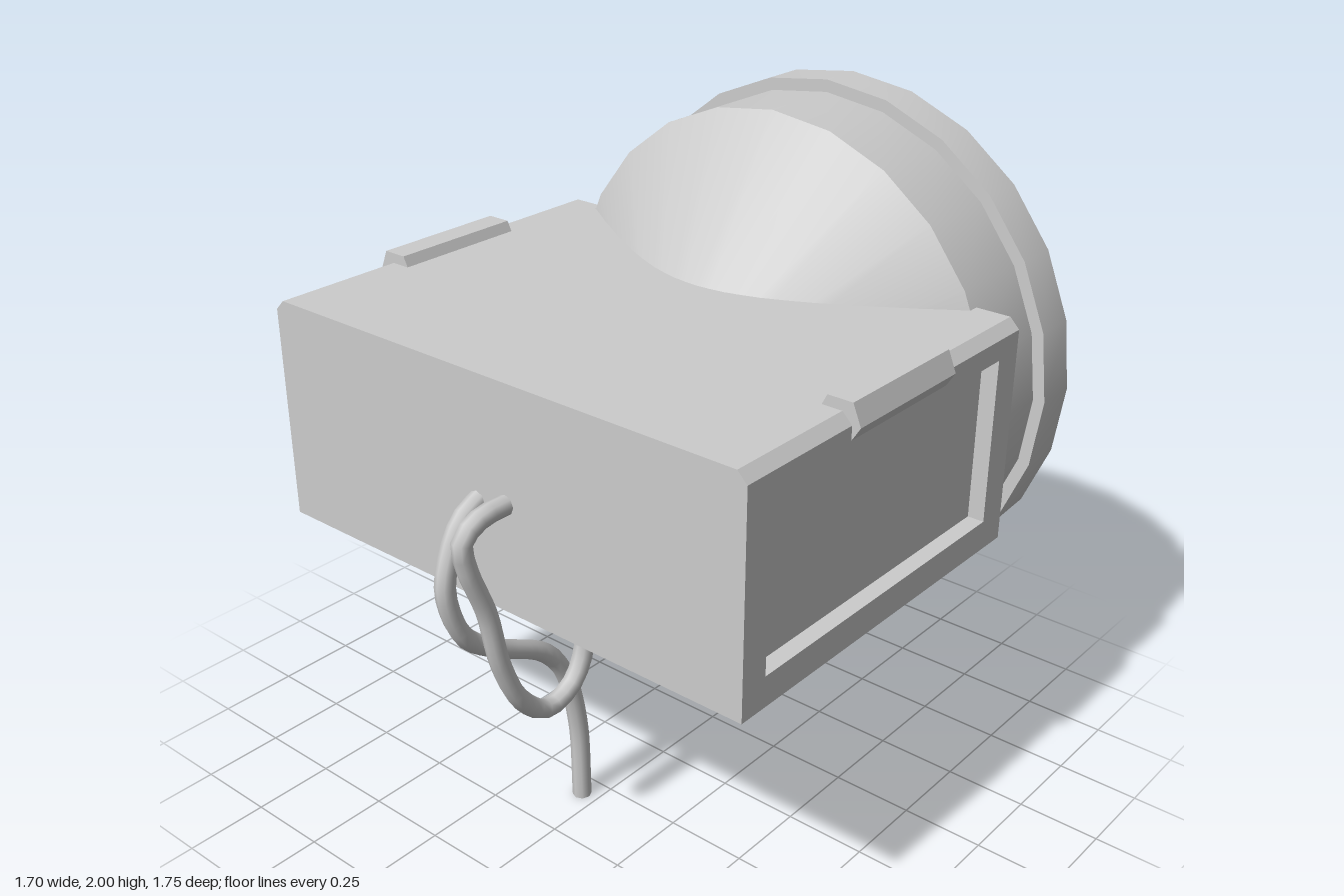
import * as THREE from 'three';
import { toCreasedNormals } from 'three/addons/utils/BufferGeometryUtils.js';

const material = new THREE.MeshStandardMaterial({ color: 0xcccccc, side: THREE.DoubleSide });

// Main dimensions of the housing and the horn axis height
const BOTTOM = 0.86, TOP = 1.53, FRONT = 0.685, BACK = -0.51;
const OUTER = 0.825, INNER = 0.775, AXIS = 1.195;
const LENGTH = FRONT - BACK, HEIGHT = TOP - BOTTOM;

const v2 = (list) => list.map(([x, y]) => new THREE.Vector2(x, y));
const rect = (x0, y0, x1, y1) => v2([[x0, y0], [x1, y0], [x1, y1], [x0, y1]]);

function prism(points, depth, hole) {
  const shape = new THREE.Shape(points);
  if (hole) shape.holes.push(new THREE.Path(hole));
  return new THREE.ExtrudeGeometry(shape, { depth, bevelEnabled: false });
}

// Top or bottom sheet with the curved notch where the horn passes through it
function notchedSheet() {
  const points = [[-INNER, -FRONT], [INNER, -FRONT], [INNER, -BACK], [0.69, -BACK]];
  const steps = 32;
  for (let i = 0; i <= steps; i++) {
    const x = 0.69 - (1.38 * i) / steps;
    const r = Math.hypot(x, HEIGHT / 2);
    points.push([x, 0.147 + (r - HEIGHT / 2) / 1.3]);
  }
  points.push([-0.69, -BACK], [-INNER, -BACK]);
  return new THREE.ShapeGeometry(new THREE.Shape(v2(points))).rotateX(-Math.PI / 2);
}

export function createModel() {
  const model = new THREE.Group();
  const add = (name, geometry, x = 0, y = 0, z = 0, parent = model) => {
    const mesh = new THREE.Mesh(geometry, material);
    mesh.name = name;
    mesh.position.set(x, y, z);
    parent.add(mesh);
    return mesh;
  };

  // Horn: outer cone, drum, rim, stepped mouth and inner funnel
  const profile = v2([
    [0.21, 0.05], [0.77, 0.48], [0.77, 0.745], [0.807, 0.745], [0.807, 0.88],
    [0.72, 0.88], [0.72, 0.745], [0.65, 0.745], [0.19, 0.055], [0, 0.055],
  ]);
  const horn = new THREE.LatheGeometry(profile, 24).rotateX(-Math.PI / 2);
  add('horn', toCreasedNormals(horn, 0.45), 0, AXIS, 0);

  // Housing sheets
  const housing = new THREE.Group();
  housing.name = 'housing';
  model.add(housing);
  const midZ = (FRONT + BACK) / 2;
  add('topPanel', notchedSheet(), 0, TOP, 0, housing);
  add('bottomPanel', notchedSheet().rotateZ(Math.PI).scale(1, 1, 1), 0, BOTTOM, 0, housing);
  add('frontPanel', new THREE.PlaneGeometry(2 * INNER, HEIGHT), 0, AXIS, FRONT, housing);

  for (const side of [1, -1]) {
    const label = side > 0 ? 'left' : 'right';

    // Side wall with a recessed rectangular panel
    const frame = prism(rect(-FRONT, BOTTOM, -BACK, 1.5), OUTER - INNER, rect(-0.595, 0.95, 0.415, 1.44));
    frame.rotateY(Math.PI / 2);
    add(label + 'SideFrame', frame, side > 0 ? INNER : -OUTER, 0, 0, housing);
    const recess = new THREE.PlaneGeometry(LENGTH, HEIGHT).rotateY((side * Math.PI) / 2);
    add(label + 'RecessedPanel', recess, side * INNER, AXIS, midZ, housing);

    // Chamfered strip along the top edge
    const edge = v2([[INNER, 1.5], [OUTER, 1.5], [0.795, TOP], [INNER, TOP]]);
    edge.forEach((p) => { p.x *= side; });
    add(label + 'ChamferedEdge', prism(edge, LENGTH), 0, 0, BACK, housing);

    // Narrow back wall beside the horn
    const strip = new THREE.PlaneGeometry(INNER - 0.69, HEIGHT).rotateY(Math.PI);
    add(label + 'BackStrip', strip, side * (INNER + 0.69) / 2, AXIS, BACK, housing);

    // Clip wrapped over the top edge
    const clip = v2([[0.735, 1.53], [0.75, 1.56], [0.825, 1.56], [0.85, 1.5], [0.825, 1.46], [0.79, 1.5]]);
    clip.forEach((p) => { p.x *= side; });
    add(label + 'Clip', prism(clip, 0.425), 0, 0, -0.145);
  }

  // Cables, given as z, y points in a plane of constant x
  const cable = (name, x, path) => {
    const curve = new THREE.CatmullRomCurve3(path.map(([z, y]) => new THREE.Vector3(x, y, z)));
    add(name, new THREE.TubeGeometry(curve, 36, 0.029, 8));
    // Flat cap on the free end
    const end = curve.getPoint(1);
    add(name + 'End', new THREE.CircleGeometry(0.029, 8).rotateX(Math.PI / 2), end.x, end.y, end.z);
  };
  cable('hangingCable', -0.055, [
    [0.66, 1.17], [0.74, 1.13], [0.79, 1.05], [0.815, 0.94], [0.76, 0.78], [0.65, 0.69],
    [0.46, 0.58], [0.38, 0.47], [0.33, 0.27], [0.32, 0],
  ]);
  cable('loopedCable', 0.05, [
    [0.66, 1.185], [0.78, 1.18], [0.84, 1.14], [0.83, 1.06], [0.77, 0.9], [0.73, 0.72],
    [0.66, 0.57], [0.56, 0.49], [0.46, 0.52], [0.41, 0.6], [0.4, 0.7], [0.43, 0.82], [0.44, 0.9],
  ]);

  return model;
}
